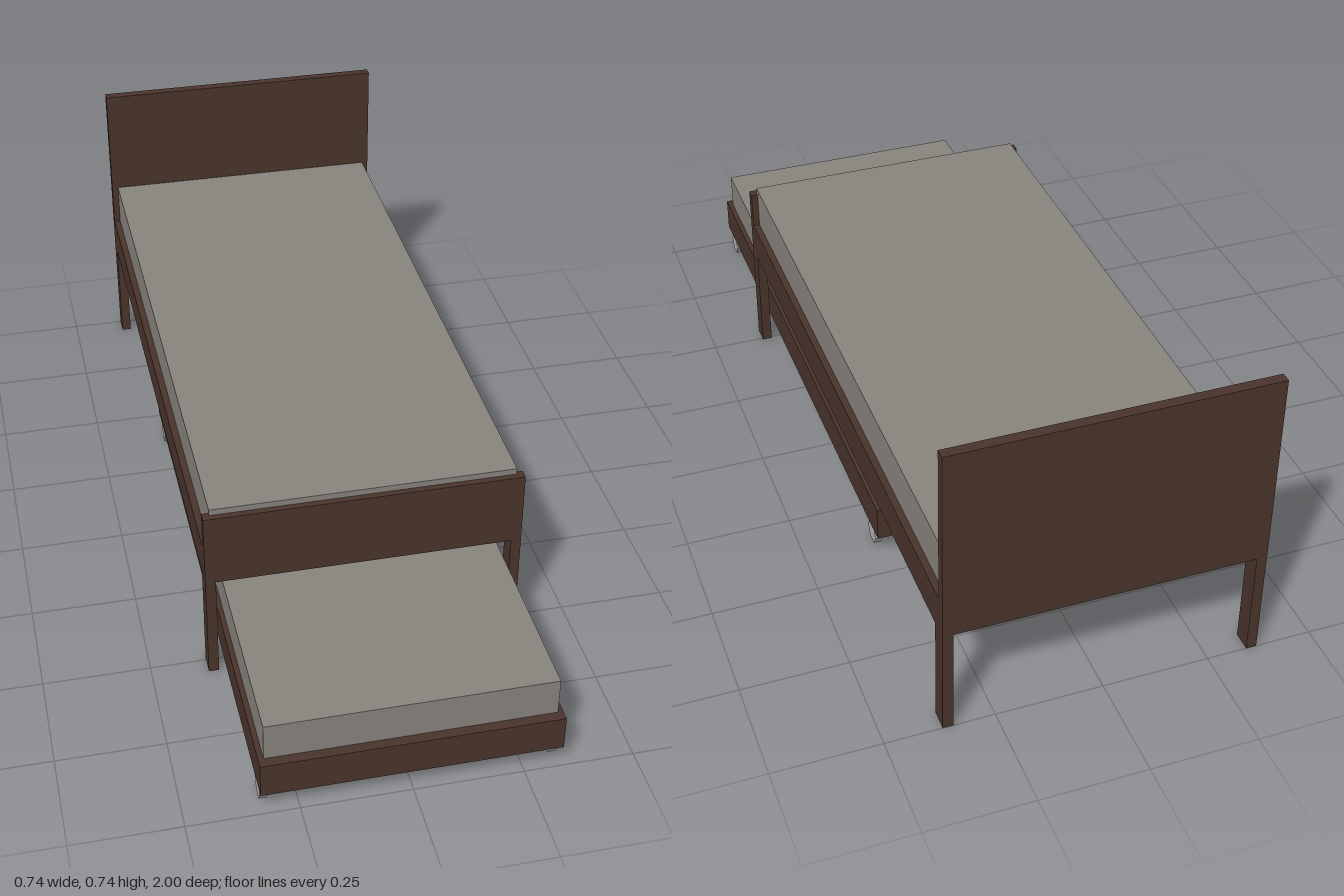
import * as THREE from 'three';

export function createModel() {
  const model = new THREE.Group();
  model.name = 'trundleBed';

  const mat = (name, color) => {
    const m = new THREE.MeshStandardMaterial({ color });
    m.name = name;
    return m;
  };
  const wood = mat('dark wood', 0x49342b);
  const fabric = mat('grey fabric', 0x87837d);
  const metal = mat('light grey caster', 0xb0b1b2);

  // Box given by its lower and upper limits on each axis
  const box = (parent, name, material, [x0, x1], [y0, y1], [z0, z1]) => {
    const mesh = new THREE.Mesh(new THREE.BoxGeometry(x1 - x0, y1 - y0, z1 - z0), material);
    mesh.position.set((x0 + x1) / 2, (y0 + y1) / 2, (z0 + z1) / 2);
    mesh.name = name;
    parent.add(mesh);
  };
  // Range from a to b on the +x side, or its mirror on the -x side
  const sided = (s, a, b) => (s > 0 ? [a, b] : [-b, -a]);

  // Main bed
  const bed = new THREE.Group();
  bed.name = 'mainBed';
  model.add(bed);
  const W = 0.369;
  box(bed, 'headboard', wood, [-W, W], [0.265, 0.739], [-1, -0.976]);
  box(bed, 'footboard', wood, [-W, W], [0.265, 0.445], [0.516, 0.54]);
  box(bed, 'mattress', fabric, [-0.353, 0.353], [0.34, 0.46], [-0.976, 0.525]);
  for (const s of [-1, 1]) {
    const side = s > 0 ? 'left' : 'right';
    box(bed, side + 'SideRail', wood, sided(s, 0.353, W), [0.265, 0.353], [-0.976, 0.516]);
    box(bed, side + 'BackLeg', wood, sided(s, 0.345, W), [0, 0.265], [-1, -0.954]);
    box(bed, side + 'FrontLeg', wood, sided(s, 0.345, W), [0, 0.265], [0.494, 0.54]);
  }

  // Pull-out trundle
  const trundle = new THREE.Group();
  trundle.name = 'trundle';
  model.add(trundle);
  const T = 0.336, railY = [0.055, 0.14];
  box(trundle, 'trundleFrontRail', wood, [-T, T], railY, [0.977, 1]);
  box(trundle, 'trundleBackRail', wood, [-T, T], railY, [-0.442, -0.416]);
  box(trundle, 'trundleMattress', fabric, [-0.324, 0.324], [0.127, 0.231], [-0.416, 0.977]);

  // Six-sided casters lying along x
  const casterGeo = new THREE.CylinderGeometry(0.029, 0.029, 0.018, 6).toNonIndexed();
  casterGeo.rotateZ(Math.PI / 2);
  casterGeo.computeVertexNormals();
  for (const s of [-1, 1]) {
    const side = s > 0 ? 'left' : 'right';
    box(trundle, side + 'TrundleRail', wood, sided(s, 0.324, T), railY, [-0.416, 0.977]);
    for (const [end, z] of [['Front', 0.945], ['Back', -0.384]]) {
      const caster = new THREE.Mesh(casterGeo, metal);
      caster.name = side + end + 'Caster';
      caster.position.set(s * 0.324, 0.03, z);
      trundle.add(caster);
    }
  }
  return model;
}
